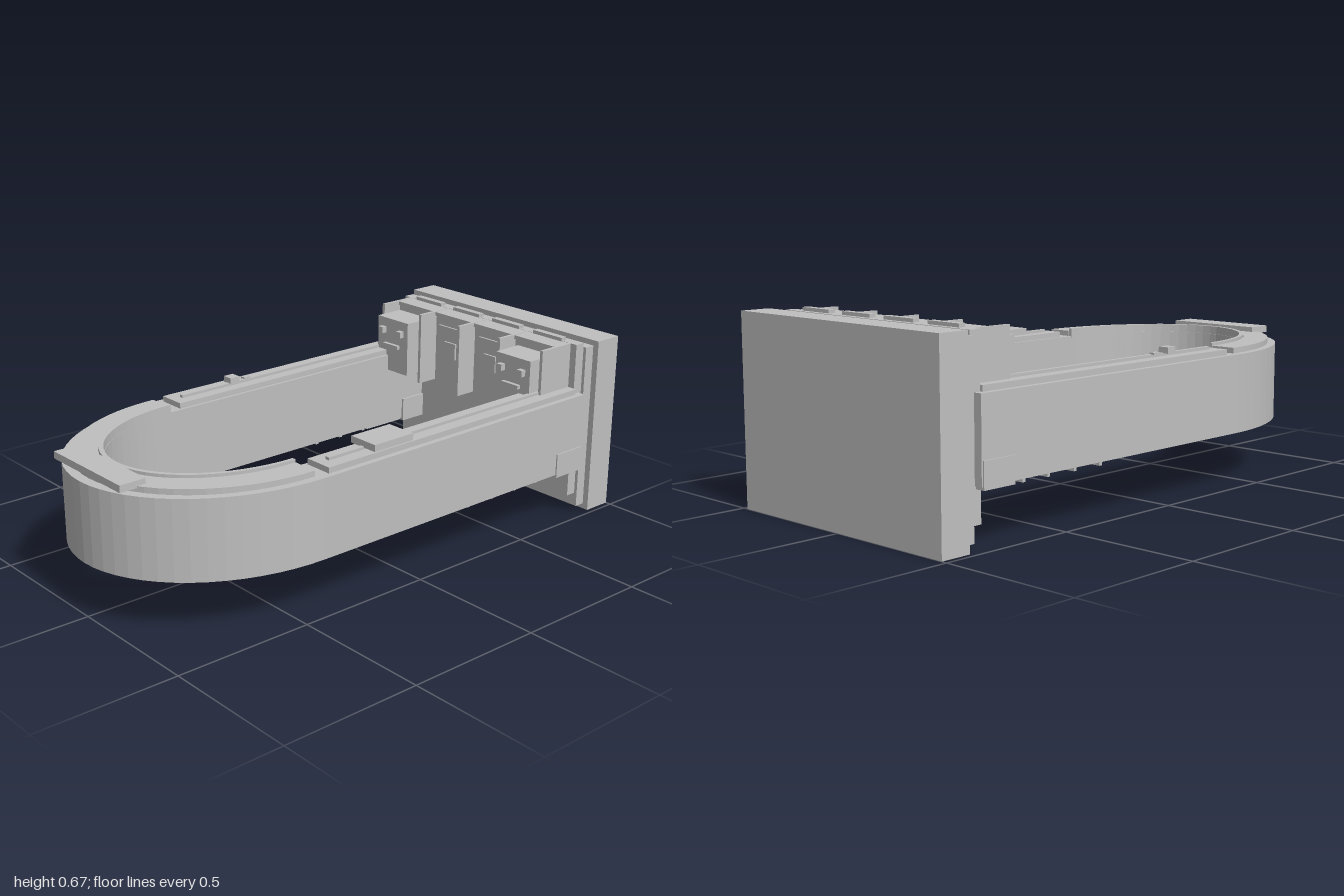
import * as THREE from 'three';

export function createModel() {
  const model = new THREE.Group();
  model.name = 'uShapedCounter';
  const grey = new THREE.MeshStandardMaterial({ color: 0xbfbfbf });
  grey.name = 'plain grey';

  const add = (name, geo) => {
    const mesh = new THREE.Mesh(geo, grey);
    mesh.name = name;
    model.add(mesh);
    return mesh;
  };
  // box given by its extents
  const box = (name, x0, x1, y0, y1, z0, z1) => {
    const mesh = add(name, new THREE.BoxGeometry(x1 - x0, y1 - y0, z1 - z0));
    mesh.position.set((x0 + x1) / 2, (y0 + y1) / 2, (z0 + z1) / 2);
  };
  const pair = (name, x0, x1, ...rest) => {
    box(name + 'Left', x0, x1, ...rest);
    box(name + 'Right', -x1, -x0, ...rest);
  };
  // half-elliptical band around the front, with straight arms back to zBack
  const band = (name, outer, inner, zBack, zArc, y0, y1) => {
    const n = 32;
    const arc = ([rx, rz]) => Array.from({ length: n + 1 }, (_, i) => {
      const a = Math.PI * i / n;
      return new THREE.Vector2(rx * Math.cos(a), -zArc - rz * Math.sin(a));
    });
    const pts = [...arc(outer), ...arc(inner).reverse()];
    if (zBack < zArc) {
      pts.splice(n + 1, 0, new THREE.Vector2(-outer[0], -zBack), new THREE.Vector2(-inner[0], -zBack));
      pts.push(new THREE.Vector2(inner[0], -zBack), new THREE.Vector2(outer[0], -zBack));
    }
    const geo = new THREE.ExtrudeGeometry(new THREE.Shape(pts), { depth: y1 - y0, bevelEnabled: false });
    geo.rotateX(-Math.PI / 2).translate(0, y0, 0);
    add(name, geo);
  };

  // stepped back wall
  box('backWall', -0.48, 0.48, 0, 0.66, -1, -0.89);
  box('wallStep', -0.457, 0.457, 0.02, 0.64, -0.89, -0.85);
  box('wallPanel', -0.445, 0.445, 0.07, 0.655, -0.85, -0.81);

  // U-shaped body with trim on its top
  band('body', [0.475, 0.595], [0.34, 0.455], -0.835, 0.405, 0.19, 0.47);
  band('curvedTop', [0.445, 0.545], [0.352, 0.46], 0.42, 0.42, 0.47, 0.49);
  band('innerTrim', [0.35, 0.458], [0.336, 0.442], 0.42, 0.42, 0.465, 0.5);
  pair('armTop', 0.35, 0.455, 0.47, 0.49, -0.81, 0.37);
  pair('armStrip', 0.392, 0.408, 0.49, 0.5, -0.73, 0.33);

  // plaques and small knobs on the top
  box('frontPlaque', -0.19, 0.19, 0.483, 0.508, 0.88, 0.975);
  box('sidePlaque', 0.345, 0.46, 0.496, 0.52, 0.01, 0.18);
  box('knobLarge', -0.425, -0.385, 0.498, 0.52, 0.08, 0.12);
  box('knobSmall', -0.415, -0.395, 0.498, 0.506, 0.02, 0.05);

  // brackets and bars near the wall
  pair('bracket', 0.332, 0.48, 0.18, 0.27, -0.83, -0.7);
  pair('underPlate', 0.35, 0.44, 0.18, 0.19, -0.7, -0.52);
  for (const z of [-0.28, -0.4, -0.52, -0.63]) {
    pair('underBar', 0.37, 0.445, 0.17, 0.186, z - 0.006, z + 0.006);
  }

  // four bays between dividers
  for (let i = 0; i < 5; i++) {
    const x = (i - 2) * 0.206;
    box('divider', x - 0.006, x + 0.006, 0.38, 0.655, -0.82, -0.66);
  }
  for (let i = 0; i < 4; i++) {
    const x = (i - 1.5) * 0.206;
    box('bayBack', x - 0.09, x + 0.09, 0.38, 0.64, -0.82, -0.737);
    box('bayCap', x - 0.096, x + 0.096, 0.64, 0.654, -0.82, -0.735);
    box('bayLabel', x - 0.069, x + 0.069, 0.65, 0.667, -0.83, -0.805);
  }

  for (const s of [-1, 1]) {
    // framed panels in the middle bays
    const p = s * 0.105;
    box('panel', p - 0.066, p + 0.066, 0.42, 0.61, -0.737, -0.729);
    box('panelInset', p - 0.03, p + 0.03, 0.49, 0.553, -0.729, -0.721);

    // block heads in the outer bays
    const h = s * 0.315;
    box('head', h - 0.083, h + 0.083, 0.41, 0.62, -0.74, -0.62);
    for (const e of [-0.049, 0.049]) {
      box('eye', h + e - 0.012, h + e + 0.012, 0.56, 0.584, -0.62, -0.6);
    }
    box('mouth', h - 0.04, h + 0.04, 0.508, 0.522, -0.62, -0.605);
  }
  return model;
}
